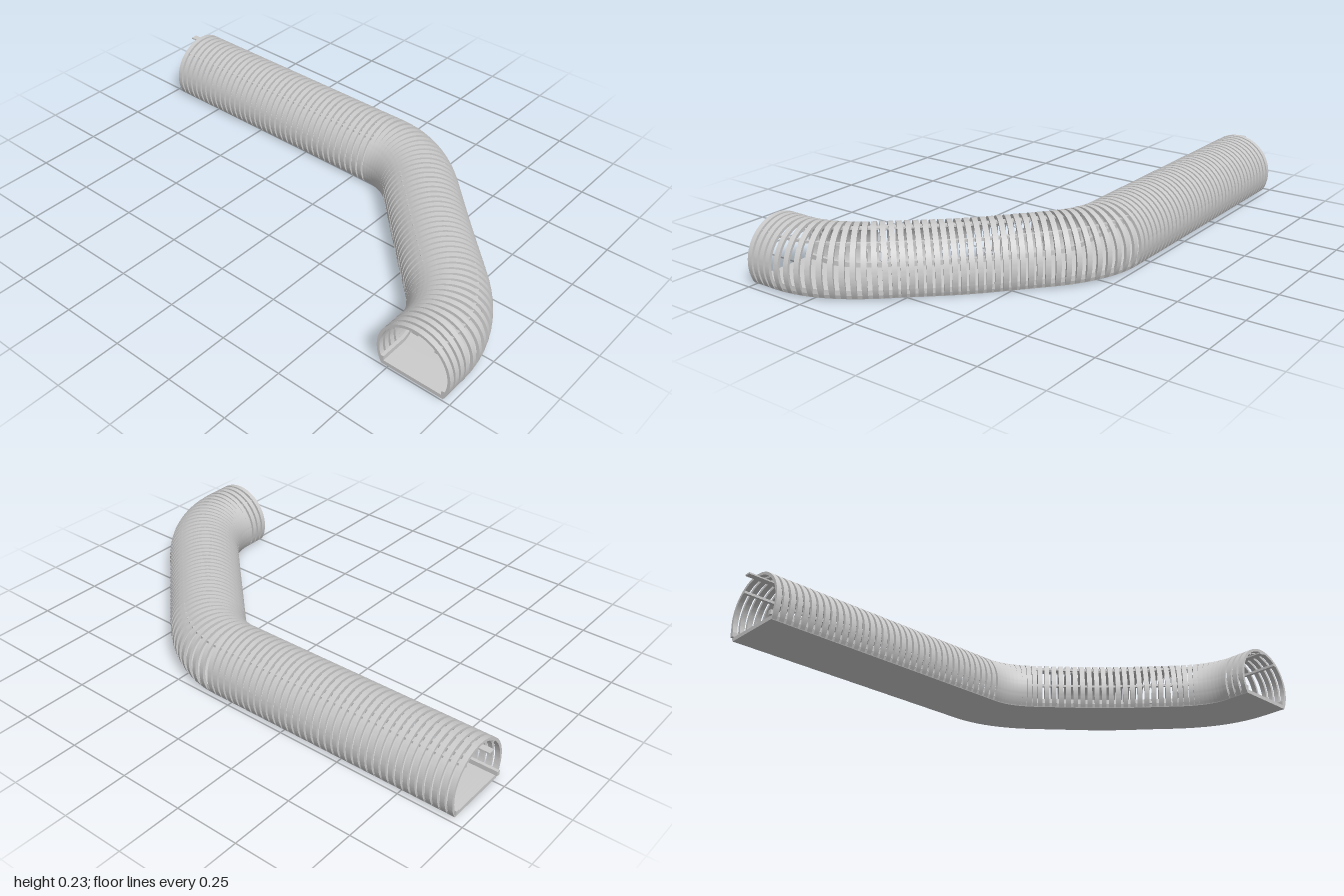
import * as THREE from 'three';
import { toCreasedNormals } from 'three/addons/utils/BufferGeometryUtils.js';

const R = 0.145, WALL = 0.011, AXIS_Y = 0.085, RIB_WIDTH = 0.019, RIBS = 80;
const material = new THREE.MeshStandardMaterial({ color: 0xcccccc });

// Centre line on the ground: three straights joined by two bends
function makePath() {
  const v = (x, z) => new THREE.Vector3(x, 0, z);
  const path = new THREE.CurvePath();
  path.add(new THREE.LineCurve3(v(-0.96, -0.36), v(0.08, -0.365)));
  path.add(new THREE.QuadraticBezierCurve3(v(0.08, -0.365), v(0.215, -0.365), v(0.34, -0.24)));
  path.add(new THREE.LineCurve3(v(0.34, -0.24), v(0.71, 0.12)));
  path.add(new THREE.QuadraticBezierCurve3(v(0.71, 0.12), v(0.85, 0.255), v(0.85, 0.4)));
  path.add(new THREE.LineCurve3(v(0.85, 0.4), v(0.85, 0.5)));
  return path;
}

// Position and axes at fraction u, with a slight sag between the bends
function frameAt(path, u) {
  const p = path.getPointAt(u);
  const t = path.getTangentAt(u).normalize();
  p.y = -0.008 * Math.exp(-(((u - 0.7) / 0.1) ** 2));
  const up = new THREE.Vector3(0, 1, 0);
  return { p, t, up, side: new THREE.Vector3().crossVectors(up, t) };
}

// Sweeps a counter-clockwise [side, height] section along the path
function sweep(path, section, overhang = 0, steps = 160) {
  const pos = [], idx = [], n = section.length;
  for (let i = 0; i <= steps; i++) {
    const f = frameAt(path, i / steps);
    if (i === 0) f.p.addScaledVector(f.t, -overhang);
    for (const [s, h] of section) {
      const q = f.p.clone().addScaledVector(f.side, s).addScaledVector(f.up, h);
      pos.push(q.x, q.y, q.z);
    }
  }
  for (let i = 0; i < steps; i++) {
    for (let k = 0; k < n; k++) {
      const a = i * n + k, b = i * n + (k + 1) % n;
      idx.push(a, b, b + n, a, b + n, a + n);
    }
  }
  const end = steps * n;
  for (let k = 1; k < n - 1; k++) {
    idx.push(0, k + 1, k, end, end + k, end + k + 1);
  }
  const g = new THREE.BufferGeometry();
  g.setAttribute('position', new THREE.Float32BufferAttribute(pos, 3));
  g.setIndex(idx);
  return toCreasedNormals(g, 0.6);
}

const box = (s, h, w, d) => [
  [s - w / 2, h - d / 2], [s + w / 2, h - d / 2], [s + w / 2, h + d / 2], [s - w / 2, h + d / 2],
];

// Arched hoop, open at the bottom where it meets the floor
function ribGeometry() {
  const low = Math.asin((0.011 - AXIS_Y) / R);
  const shape = new THREE.Shape();
  shape.absarc(0, AXIS_Y, R, low, Math.PI - low, false);
  shape.absarc(0, AXIS_Y, R - WALL, Math.PI - low, low, true);
  shape.closePath();
  const g = new THREE.ExtrudeGeometry(shape, { depth: RIB_WIDTH, bevelEnabled: false, curveSegments: 36 });
  g.translate(0, 0, -RIB_WIDTH / 2);
  return toCreasedNormals(g, 0.6);
}

export function createModel() {
  const model = new THREE.Group();
  model.name = 'ribbedTunnel';
  const path = makePath();
  const length = path.getLength();
  const add = (geometry, name, parent = model) => {
    const mesh = new THREE.Mesh(geometry, material);
    mesh.name = name;
    parent.add(mesh);
    return mesh;
  };

  // Hoops
  const ribs = new THREE.Group();
  ribs.name = 'ribs';
  model.add(ribs);
  const rib = ribGeometry();
  const inset = RIB_WIDTH / 2 / length;
  for (let i = 0; i < RIBS; i++) {
    const f = frameAt(path, inset + (1 - 2 * inset) * i / (RIBS - 1));
    const mesh = add(rib, 'rib', ribs);
    mesh.quaternion.setFromRotationMatrix(new THREE.Matrix4().makeBasis(f.side, f.up, f.t));
    mesh.position.copy(f.p);
  }

  // Floor plate
  add(sweep(path, [[-0.123, 0.009], [0.123, 0.009], [0.128, 0.024], [-0.128, 0.024]]), 'floor');

  // Lengthwise rails holding the hoops; the crest rail ends in a tab
  add(sweep(path, box(0, 0.216, 0.025, 0.006), 0.04), 'crestRail');
  for (const s of [-1, 1]) {
    add(sweep(path, box(s * 0.083, 0.19, 0.012, 0.01)), 'shoulderRail');
    add(sweep(path, box(s * 0.122, 0.033, 0.014, 0.018), 0.008), 'lowerRail');
  }
  return model;
}
